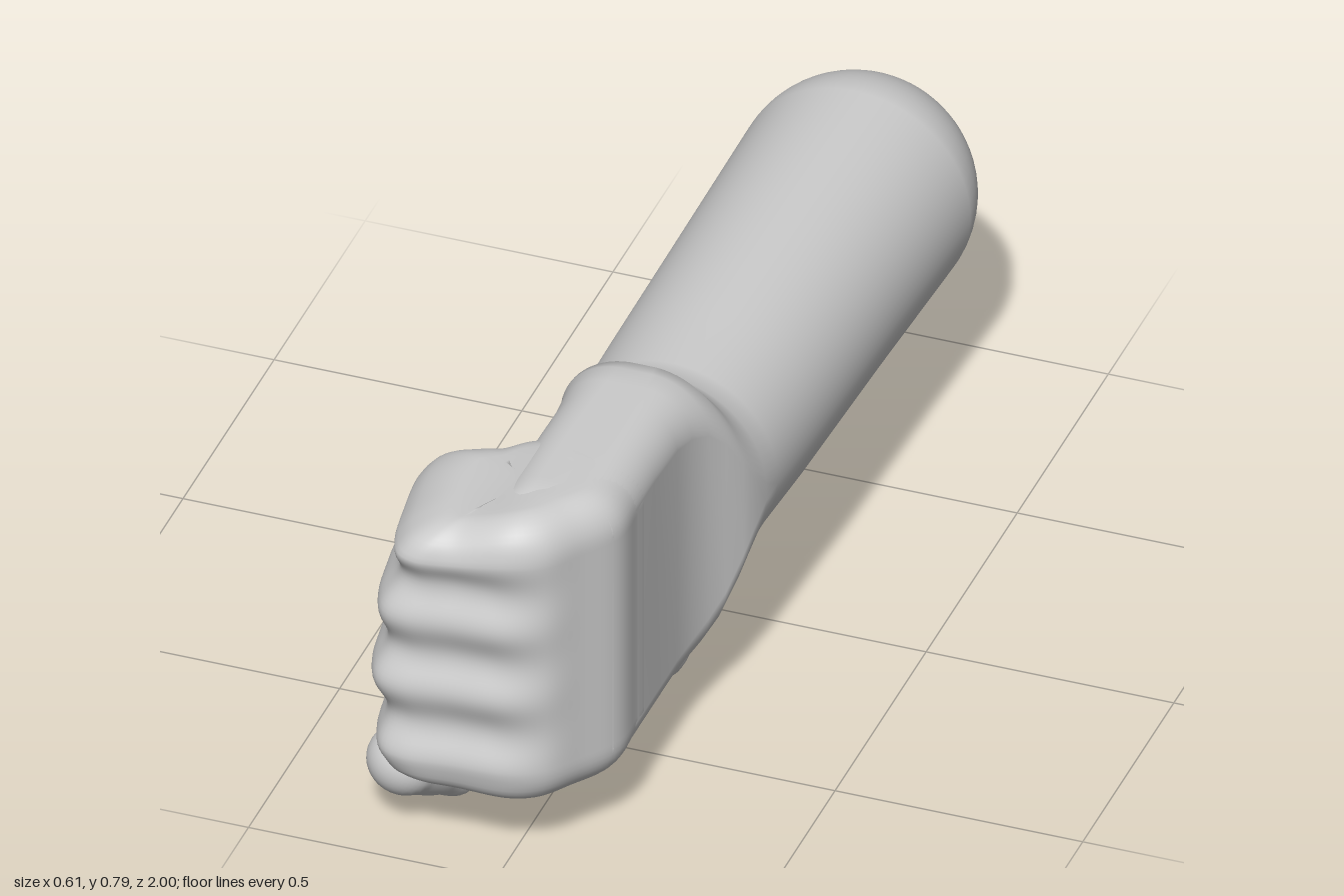
import * as THREE from 'three';

const material = new THREE.MeshStandardMaterial({ color: 0xcccccc, side: THREE.DoubleSide });
const { smoothstep, lerp } = THREE.MathUtils;

// Closed smooth skin over a list of rings (arrays of Vector3 of equal length)
function loft(name, rings) {
  const n = rings[0].length, pos = [], idx = [];
  rings.forEach((ring) => ring.forEach((p) => pos.push(p.x, p.y, p.z)));
  for (let i = 0; i < rings.length - 1; i++) {
    for (let j = 0; j < n; j++) {
      const a = i * n + j, b = i * n + (j + 1) % n;
      idx.push(a, b, b + n, a, b + n, a + n);
    }
  }
  [0, rings.length - 1].forEach((r, end) => {
    const c = rings[r].reduce((s, p) => s.add(p), new THREE.Vector3()).divideScalar(n);
    const ci = pos.length / 3;
    pos.push(c.x, c.y, c.z);
    for (let j = 0; j < n; j++) {
      const a = r * n + j, b = r * n + (j + 1) % n;
      if (end) idx.push(a, b, ci); else idx.push(b, a, ci);
    }
  });
  // Turn the faces outwards when the signed volume is negative
  const v = (i) => new THREE.Vector3().fromArray(pos, i * 3);
  let volume = 0;
  for (let i = 0; i < idx.length; i += 3) volume += v(idx[i]).dot(v(idx[i + 1]).cross(v(idx[i + 2])));
  if (volume < 0) idx.reverse();
  const g = new THREE.BufferGeometry();
  g.setAttribute('position', new THREE.Float32BufferAttribute(pos, 3));
  g.setIndex(idx);
  g.computeVertexNormals();
  const mesh = new THREE.Mesh(g, material);
  mesh.name = name;
  return mesh;
}

// Rounded rectangle across the arm axis
function section(z, x0, x1, y0, y1, r) {
  const ring = [], cx = (x0 + x1) / 2, cy = (y0 + y1) / 2;
  const hx = (x1 - x0) / 2, hy = (y1 - y0) / 2, rx = Math.min(r, hx), ry = Math.min(r, hy);
  [[1, 1], [-1, 1], [-1, -1], [1, -1]].forEach(([sx, sy], k) => {
    for (let i = 0; i < 16; i++) {
      const a = (k + (i + 0.5) / 16) * Math.PI / 2;
      ring.push(new THREE.Vector3(cx + sx * (hx - rx) + rx * Math.cos(a), cy + sy * (hy - ry) + ry * Math.sin(a), z));
    }
  });
  return ring;
}

// Rounded arm stump, forearm, wrist and back of the hand
function makeForearmAndPalm() {
  const rings = [];
  for (let i = 1; i <= 18; i++) {
    const a = i / 18 * Math.PI / 2, r = 0.235 * Math.sin(a);
    rings.push(section(-0.765 - 0.235 * Math.cos(a), 0.073 - r, 0.073 + r, 0.465 - r, 0.465 + r, r));
  }
  const keys = [
    [-0.4, -0.16, 0.293, 0.238, 0.692, 0.23], [0, -0.158, 0.28, 0.245, 0.685, 0.22],
    [0.19, -0.156, 0.27, 0.25, 0.68, 0.215], [0.24, -0.152, 0.266, 0.245, 0.685, 0.21],
    [0.28, -0.14, 0.257, 0.215, 0.71, 0.2], [0.31, -0.128, 0.246, 0.185, 0.74, 0.185],
    [0.35, -0.11, 0.225, 0.153, 0.778, 0.15], [0.39, -0.092, 0.205, 0.142, 0.789, 0.12],
    [0.44, -0.078, 0.19, 0.14, 0.79, 0.1], [0.5, -0.07, 0.182, 0.14, 0.79, 0.09],
    [0.62, -0.07, 0.18, 0.14, 0.79, 0.085], [0.79, -0.07, 0.18, 0.14, 0.79, 0.085],
    [0.82, -0.07, 0.17, 0.143, 0.789, 0.085], [0.86, -0.07, 0.135, 0.15, 0.783, 0.08],
    [0.9, -0.06, 0.09, 0.17, 0.765, 0.07], [0.94, -0.05, 0.05, 0.21, 0.73, 0.04],
  ];
  keys.forEach((k) => rings.push(section(...k)));
  return loft('forearmAndPalm', rings);
}

// Four curled fingers: one outline stacked upwards, pinched between the fingers
function makeFingers() {
  const outline = new THREE.CatmullRomCurve3([
    [0.17, 0.64], [0.18, 0.72], [0.178, 0.8], [0.13, 0.88], [0.08, 0.95], [0.02, 0.982],
    [-0.1, 0.992], [-0.2, 1], [-0.25, 0.982], [-0.277, 0.93], [-0.295, 0.84], [-0.307, 0.72],
    [-0.295, 0.672], [-0.24, 0.645], [-0.15, 0.625], [-0.06, 0.59], [0.08, 0.6],
  ].map(([x, z]) => new THREE.Vector3(x, 0, z)), true, 'centripetal').getSpacedPoints(110).slice(0, -1);

  const cx = -0.06, cz = 0.8, bottom = 0.14, top = 0.79, round = 0.085, steps = [];
  for (let i = 0; i <= 10; i++) {
    const a = i / 10 * Math.PI / 2;
    steps.push([bottom + round * (1 - Math.sin(a)), round * (1 - Math.cos(a))]);
  }
  steps.reverse();
  for (let i = 1; i < 50; i++) steps.push([lerp(bottom + round, top - round, i / 50), 0]);
  for (let i = 0; i <= 10; i++) {
    const a = i / 10 * Math.PI / 2;
    steps.push([top - round * (1 - Math.sin(a)), round * (1 - Math.cos(a))]);
  }
  // The first quarter runs from the bottom face up to the side wall
  for (let i = 0; i <= 10; i++) {
    const a = i / 10 * Math.PI / 2;
    steps[i] = [bottom + round * (1 - Math.sin(Math.PI / 2 - a)), round * (1 - Math.sin(a))];
    steps[steps.length - 1 - i] = [top - (steps[i][0] - bottom), steps[i][1]];
  }
  // Close both ends gently towards the middle
  const rings = [0.5, 0.8].map((s) => [bottom, round, s])
    .concat(steps.map(([y, d]) => [y, d, 1]), [0.8, 0.5].map((s) => [top, round, s]));
  return loft('fingers', rings.map(([y, inset, s]) => {
    const inner = smoothstep(y, 0.17, 0.24) * (1 - smoothstep(y, 0.69, 0.75));
    const groove = inner * Math.cos(Math.PI * (y - 0.152) / 0.158) ** 2;
    return outline.map((p) => {
      const w = 1 - smoothstep(p.x, -0.03, 0.13);
      const k = s * (1 - 0.11 * groove * w);
      const x = cx + (p.x - cx) * k * (1 - inset / 0.24) + 0.042 * ((y - 0.38) / 0.3) ** 2 * w * smoothstep(-p.x, 0.05, 0.3);
      const z = cz + (p.z - cz) * k * (1 - inset / 0.21);
      const drop = 0.034 * (1 - smoothstep(x, -0.12, 0.04)) * smoothstep(y, 0.62, 0.79);
      const lift = 0.012 * (1 - smoothstep(x, -0.22, 0.05)) * (1 - smoothstep(y, 0.14, 0.25));
      return new THREE.Vector3(x, y - drop + lift, z);
    });
  }));
}

// Limb of changing radius along a curve; each key is x, y, z, radius
function limb(name, keys, wide = 1) {
  const path = new THREE.CatmullRomCurve3(keys.map((k) => new THREE.Vector3(k[0], k[1], k[2])));
  const radii = new THREE.CatmullRomCurve3(keys.map((k) => new THREE.Vector3(k[3], 0, 0)));
  const rings = [], up = new THREE.Vector3(0, 1, 0);
  const ringAt = (t, shift, scale) => {
    const dir = path.getTangent(t), r = radii.getPoint(t).x;
    const side = new THREE.Vector3().crossVectors(up, dir).normalize();
    const over = new THREE.Vector3().crossVectors(dir, side);
    const c = path.getPoint(t).addScaledVector(dir, shift * r), ring = [];
    for (let j = 0; j < 32; j++) {
      const a = j / 32 * Math.PI * 2;
      ring.push(c.clone().addScaledVector(side, Math.cos(a) * r * scale * wide).addScaledVector(over, Math.sin(a) * r * scale));
    }
    rings.push(ring);
  };
  for (let i = 1; i < 10; i++) ringAt(0, -Math.cos(i / 20 * Math.PI), Math.sin(i / 20 * Math.PI));
  for (let i = 0; i <= 40; i++) ringAt(i / 40, 0, 1);
  for (let i = 9; i > 0; i--) ringAt(1, Math.cos(i / 20 * Math.PI), Math.sin(i / 20 * Math.PI));
  return loft(name, rings);
}

export function createModel() {
  const group = new THREE.Group();
  group.name = 'fistAndForearm';
  group.add(makeForearmAndPalm(), makeFingers());
  // Thumb folded under the fingers, with its fleshy base by the wrist
  group.add(limb('thumb', [
    [0.03, 0.29, 0.33, 0.13], [0.01, 0.22, 0.42, 0.135], [-0.07, 0.15, 0.51, 0.13],
    [-0.128, 0.108, 0.59, 0.107], [-0.165, 0.11, 0.69, 0.09], [-0.207, 0.12, 0.79, 0.09],
    [-0.232, 0.14, 0.87, 0.07],
  ], 1.08));
  group.add(limb('thumbBase', [
    [0.07, 0.24, 0.36, 0.1], [0.05, 0.21, 0.46, 0.1], [0, 0.17, 0.55, 0.09], [-0.06, 0.14, 0.62, 0.08],
  ], 1.1));
  return group;
}
